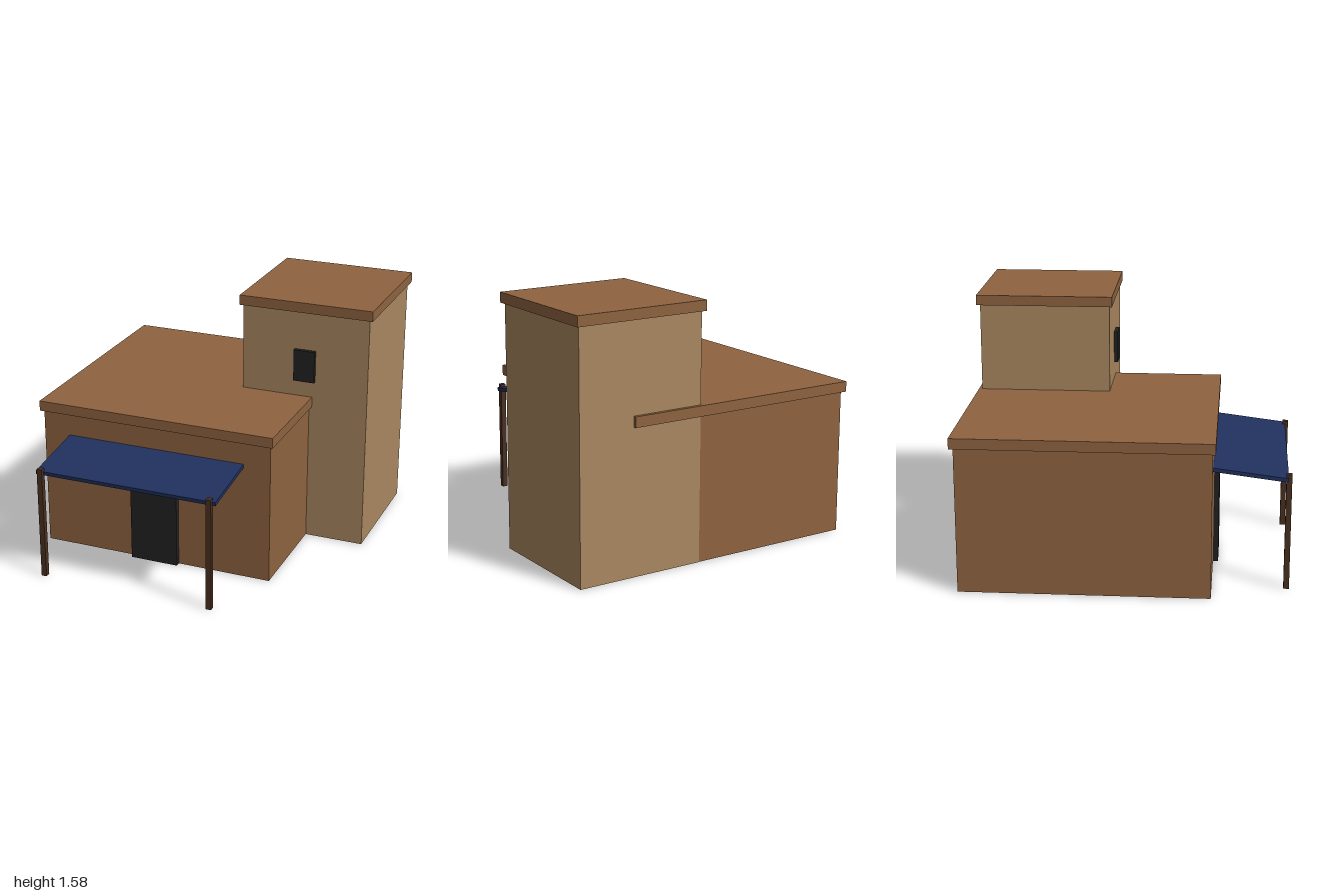
import * as THREE from 'three';

export function createModel() {
  const model = new THREE.Group();
  model.name = 'house';

  const material = (name, color) => {
    const m = new THREE.MeshStandardMaterial({ color });
    m.name = name;
    return m;
  };
  const brown = material('brown clay', 0x8f6340);
  const tan = material('tan plaster', 0xaa8860);
  const blue = material('blue canvas', 0x20315f);
  const black = material('black', 0x222222);
  const wood = material('dark wood', 0x4a3020);

  // Box given by its extents along each axis
  const block = (name, mat, [x0, x1], [y0, y1], [z0, z1]) => {
    const mesh = new THREE.Mesh(new THREE.BoxGeometry(x1 - x0, y1 - y0, z1 - z0), mat);
    mesh.position.set((x0 + x1) / 2, (y0 + y1) / 2, (z0 + z1) / 2);
    mesh.name = name;
    model.add(mesh);
    return mesh;
  };

  // Main building; the tower stands a hair proud of it at the back and base
  block('mainWalls', brown, [-0.947, 0.567], [0.001, 0.9], [-0.977, 0.535]);
  block('mainRoof', brown, [-0.969, 0.585], [0.9, 0.965], [-1, 0.553]);

  // Corner tower
  block('towerWalls', tan, [0.12, 0.944], [0, 1.52], [-0.978, -0.152]);
  block('towerRoof', brown, [0.1, 0.965], [1.52, 1.584], [-1, -0.135]);

  // Openings
  block('door', black, [-0.347, -0.036], [0, 0.688], [0.53, 0.567]);
  block('towerWindow', black, [0.466, 0.603], [1.07, 1.275], [-0.155, -0.127]);

  // Sloping awning, its rear edge tucked into the wall
  const awning = block('awning', blue, [-0.775, 0.395], [0.707, 0.731], [0.525, 0.981]);
  awning.rotation.x = 0.125;

  // Awning posts
  for (const x of [-0.742, 0.358]) {
    block('awningPost', wood, [x - 0.017, x + 0.017], [0, 0.722], [0.966, 1]);
  }

  return model;
}
